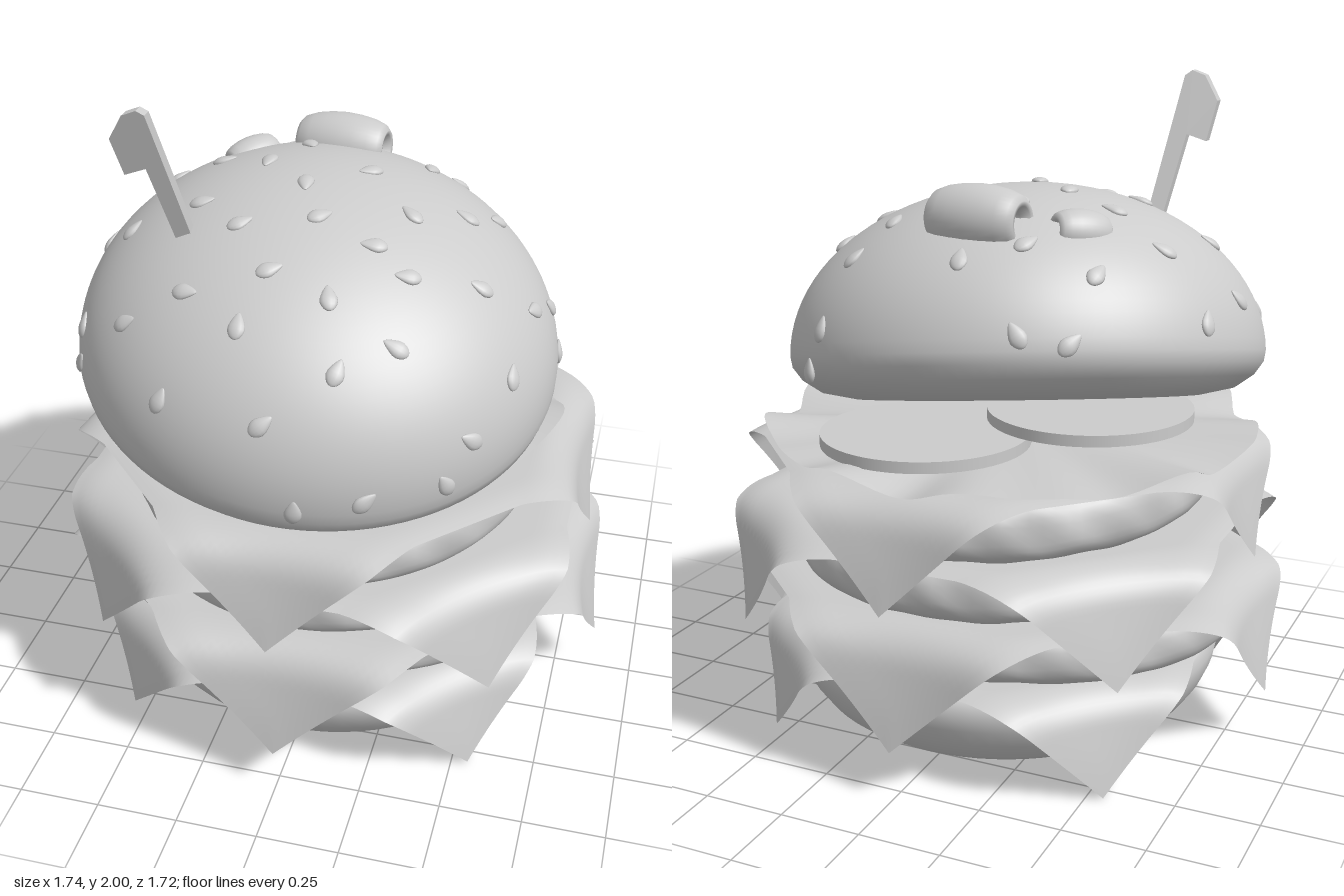
import * as THREE from 'three';
import { mergeVertices } from 'three/addons/utils/BufferGeometryUtils.js';

const mat = new THREE.MeshStandardMaterial({ color: 0xcccccc });
const sheet = new THREE.MeshStandardMaterial({ color: 0xcccccc, side: THREE.DoubleSide });

function add(parent, name, geo, material = mat) {
  const mesh = new THREE.Mesh(geo, material);
  mesh.name = name;
  parent.add(mesh);
  return mesh;
}

// Move every vertex by a rule, then weld and smooth
function warp(geo, rule = () => {}) {
  const p = geo.attributes.position, v = new THREE.Vector3();
  for (let i = 0; i < p.count; i++) {
    rule(v.fromBufferAttribute(p, i));
    p.setXYZ(i, v.x, v.y, v.z);
  }
  geo.deleteAttribute('uv');
  geo.deleteAttribute('normal');
  const out = mergeVertices(geo, 1e-5);
  out.computeVertexNormals();
  return out;
}

const lathe = (pts, seg = 72) => new THREE.LatheGeometry(pts.map(([x, y]) => new THREE.Vector2(x, y)), seg);

// Square slice whose four corners fold down past a line, flaring a little at the sides
function cheeseGeometry(half, fold) {
  const bend = 0.13, maxAngle = 1.33;
  const hang = (s, across) => {
    const t = Math.abs(s) - fold;
    if (t <= 0) return [s, 0];
    const a = Math.min(t / bend, maxAngle), rest = t - a * bend;
    const out = bend * Math.sin(a) + rest * Math.cos(a);
    const drop = bend * (1 - Math.cos(a)) + rest * Math.sin(a);
    const flare = 0.5 * across * across * Math.min(1, t / 0.1);
    return [Math.sign(s) * (fold + out + flare), drop];
  };
  const plane = new THREE.PlaneGeometry(2 * half, 2 * half, 64, 64).rotateX(-Math.PI / 2);
  return warp(plane, (p) => {
    const a = (p.x + p.z) * Math.SQRT1_2, b = (p.x - p.z) * Math.SQRT1_2;
    const [u, du] = hang(a, b);
    const [v, dv] = hang(b, a);
    const edge = Math.max(0, Math.max(Math.abs(p.x), Math.abs(p.z)) - half + 0.08);
    p.set((u + v) * Math.SQRT1_2, -du - dv - edge * edge * 2, (u - v) * Math.SQRT1_2);
  });
}

// Oval, lumpy patty with a full, blunt rim
function pattyGeometry(rx, rz, height, phase) {
  const pts = [[0, -1], [0.5, -1]];
  for (let i = 0; i <= 14; i++) {
    const a = -Math.PI / 2 + Math.PI * i / 14;
    pts.push([0.88 + 0.12 * Math.max(0, Math.cos(a)) ** 0.8, Math.sign(a) * Math.abs(Math.sin(a)) ** 0.85]);
  }
  pts.push([0.5, 1], [0, 1]);
  return warp(lathe(pts, 110), (p) => {
    const a = Math.atan2(p.z, p.x), r = Math.hypot(p.x, p.z);
    const lump = r > 0.6 ? Math.sin(11 * a + phase + 2 * p.y) + 0.7 * Math.sin(23 * a - 2 * phase - 3 * p.y) : 0;
    p.set(p.x * rx * (1 + 0.006 * lump), p.y * height / 2 + 0.004 * lump, p.z * rz * (1 + 0.006 * lump));
  });
}

// Plump barrel lying along x, with a small pit in each end
function oliveGeometry(radius, length) {
  const end = [[0, 0.22], [0.26, 0.24], [0.34, 0.4], [0.46, 0.49], [0.6, 0.5], [0.76, 0.45], [0.89, 0.33], [0.97, 0.17]];
  const pts = [...end.map(([r, y]) => [r, -y]), [1, 0], ...end.reverse()];
  return warp(lathe(pts.map(([r, y]) => [r * radius, y * length]), 36)).rotateZ(Math.PI / 2);
}

export function createModel() {
  const model = new THREE.Group();
  model.name = 'cheeseburger';

  // Bottom bun
  add(model, 'bottomBun', warp(lathe([[0, 0], [0.3, 0], [0.41, 0.001], [0.49, 0.01], [0.56, 0.035], [0.61, 0.07],
    [0.65, 0.125], [0.675, 0.18], [0.685, 0.23], [0.67, 0.275], [0.62, 0.3], [0.4, 0.3], [0, 0.3]])));

  // Patties: rx, rz, height, x, y, z
  [[0.75, 0.645, 0.185, -0.01, 0.4, 0], [0.67, 0.69, 0.19, 0, 0.6, 0],
    [0.645, 0.75, 0.19, -0.005, 0.805, -0.008]].forEach(([rx, rz, h, x, y, z], i) => {
    add(model, 'patty' + (i + 1), pattyGeometry(rx, rz, h, i * 2.1)).position.set(x, y, z);
  });

  // Cheese slices, every second one turned an eighth and draped over its oval patty:
  // half width, fold, y, spread along x, spread along z
  [[0.69, 0.605, 0.307, 1, 1], [0.757, 0.66, 0.5, 1.035, 0.97],
    [0.764, 0.68, 0.707, 1, 1], [0.742, 0.66, 0.913, 0.98, 1.025]].forEach(([half, fold, y, sx, sz], i) => {
    const geo = cheeseGeometry(half, fold).rotateY((i % 2) * Math.PI / 4).scale(sx, 1, sz);
    add(model, 'cheeseSlice' + (i + 1), geo, sheet).position.y = y;
  });

  // Ruffled lettuce leaf
  const leaf = new THREE.RingGeometry(0.1, 1, 130, 12).rotateX(-Math.PI / 2);
  add(model, 'lettuce', warp(leaf, (p) => {
    const a = Math.atan2(p.z, p.x), r = Math.hypot(p.x, p.z);
    const ruffle = Math.sin(9 * a) + 0.6 * Math.sin(14 * a + 1);
    const grow = 0.745 + 0.018 * ruffle * r;
    p.set(p.x * grow, 0.02 * r ** 3 * ruffle, p.z * grow);
  }), sheet).position.set(-0.055, 0.95, -0.075);

  // Pickle slices, the second overlapping the first
  [[0.07, 0.983, -0.425], [-0.33, 1.025, -0.125]].forEach(([x, y, z]) => {
    const pickle = add(model, 'pickleSlice', new THREE.CylinderGeometry(0.31, 0.31, 0.034, 56));
    pickle.position.set(x, y, z);
  });

  // Tilted top bun: ellipsoid dome over a shallow rounded base
  const R = 0.737, H = 0.53;
  const topBun = new THREE.Group();
  topBun.name = 'topBun';
  topBun.position.set(-0.058, 1.14, 0.028);
  topBun.rotation.set(0.225, 0, -0.115);
  topBun.updateMatrix();
  model.add(topBun);
  const profile = [[0, -0.138], [0.35, -0.138], [0.54, -0.134], [0.64, -0.114], [0.7, -0.075], [0.73, -0.035]];
  for (let i = 0; i <= 24; i++) {
    const a = Math.PI / 2 * i / 24;
    profile.push([i === 24 ? 0 : R * Math.cos(a), H * Math.sin(a)]);
  }
  add(topBun, 'topBunDome', warp(lathe(profile, 96)));

  // Sesame seeds: pairs of x, z dropped onto the dome
  const spots = [-.1, -.54, -.46, -.43, -.26, -.45, .28, -.45, .21, -.33, -.57, -.19, -.4, -.14, -.16, -.26,
    .07, -.1, -.24, -.08, .37, -.08, .44, -.22, -.74, -.01, -.6, .15, -.38, .14, -.09, .05, .23, .06, -.01, .19,
    -.23, .25, .16, .24, .27, .29, .46, .17, -.51, .48, -.33, .46, -.1, .4, .08, .44, .28, .48, .5, .48,
    -.15, .55, .14, .59, .25, .71, -.04, .71, -.35, .66, -.7, .34, .6, .04, .63, -.11, .37, -.57, -.44, -.57, .58, .29];
  const seedGeo = warp(new THREE.SphereGeometry(1, 14, 10), (p) => {
    const taper = 1 - 0.45 * Math.max(0, p.y + 0.2);
    p.set(p.x * 0.027 * taper, p.y * 0.04, p.z * 0.014 * taper);
  });
  function addSeed(point, turn) {
    const n = new THREE.Vector3(point.x / R ** 2, point.y / H ** 2, point.z / R ** 2).normalize();
    const side = new THREE.Vector3(0, 1, 0).cross(n).normalize();
    const seed = add(topBun, 'sesameSeed', seedGeo);
    seed.quaternion.setFromRotationMatrix(new THREE.Matrix4().makeBasis(side, n.clone().cross(side), n));
    seed.rotateZ(turn);
    seed.position.copy(point).addScaledVector(n, 0.001);
  }
  const inv = topBun.matrix.clone().invert();
  const squash = new THREE.Vector3(1 / R, 1 / H, 1 / R);
  for (let i = 0; i < spots.length; i += 2) {
    const o = new THREE.Vector3(spots[i], 3, spots[i + 1]).applyMatrix4(inv);
    const d = new THREE.Vector3(spots[i], 2, spots[i + 1]).applyMatrix4(inv).sub(o);
    const so = o.clone().multiply(squash), sd = d.clone().multiply(squash);
    const A = sd.lengthSq(), B = so.dot(sd), C = so.lengthSq() - 1;
    const t = (-B - Math.sqrt(Math.max(0, B * B - A * C))) / A;
    addSeed(o.addScaledVector(d, t), Math.sin(i * 2.7) * 0.9);
  }
  // Seeds low on the rim
  [0.15, 0.75, 1.75, 2.6, 3.5, 4.3, 5.2].forEach((a, i) => {
    const lift = 0.08 + 0.06 * (i % 2);
    addSeed(new THREE.Vector3(R * Math.cos(lift) * Math.sin(a), H * Math.sin(lift), R * Math.cos(lift) * Math.cos(a)), Math.sin(i * 2) * 0.5);
  });

  // Two olives resting on the back of the bun
  const bigOlive = add(model, 'largeOlive', oliveGeometry(0.102, 0.285));
  bigOlive.position.set(-0.085, 1.624, -0.385);
  bigOlive.rotation.y = -0.08;
  const smallOlive = add(model, 'smallOlive', oliveGeometry(0.068, 0.165));
  smallOlive.position.set(-0.355, 1.59, -0.29);
  smallOlive.rotation.set(0, 0.85, 0.15);

  // Flat pick with a flag-shaped head, leaning forward and turned slightly
  const outline = [[-0.36, 1.5], [-0.435, 1.985], [-0.455, 2], [-0.495, 1.985], [-0.54, 1.91], [-0.52, 1.79],
    [-0.46, 1.81], [-0.405, 1.5]].map(([x, y]) => new THREE.Vector2(x, y));
  const pick = new THREE.ExtrudeGeometry(new THREE.Shape(outline), { depth: 0.035, bevelEnabled: false });
  const pp = pick.attributes.position;
  for (let i = 0; i < pp.count; i++) {
    pp.setZ(i, pp.getZ(i) + 0.24 + (pp.getY(i) - 1.57) * 0.3 - (pp.getX(i) + 0.4) * 0.25);
  }
  pick.computeVertexNormals();
  add(model, 'pick', pick);

  return model;
}
